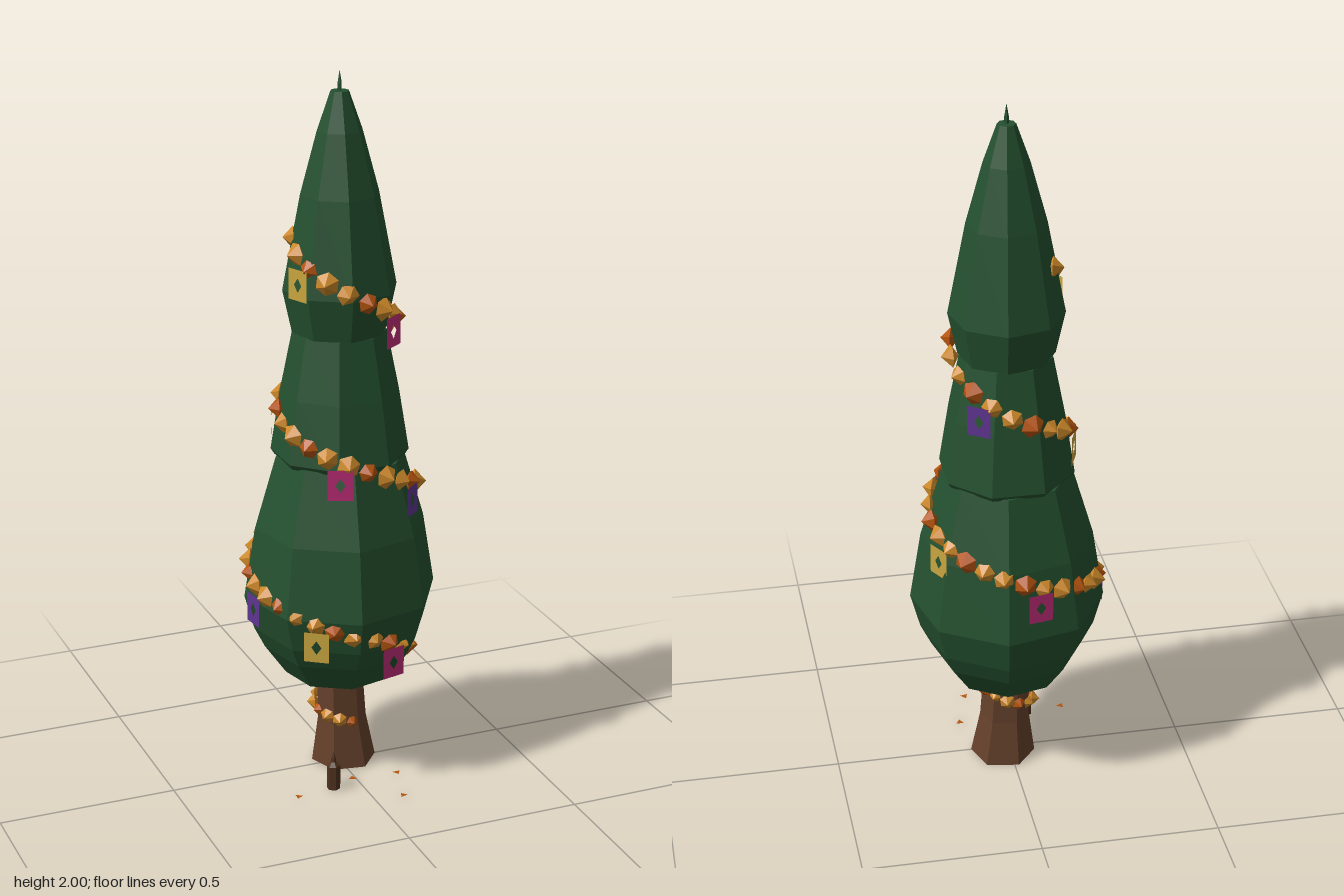
import * as THREE from 'three';

const mat = (name, color, double) => {
  const m = new THREE.MeshStandardMaterial({ color, flatShading: true });
  m.name = name;
  if (double) m.side = THREE.DoubleSide;
  return m;
};

// Faceted lathe from a bottom-to-top profile of [radius, y]
function faceted(profile, sides, phi = 0) {
  const pts = profile.map(([r, y]) => new THREE.Vector2(r, y));
  const g = new THREE.LatheGeometry(pts, sides, phi).toNonIndexed();
  g.computeVertexNormals();
  return g;
}

// Garland path: [turns, height, radius]; turn 0 is the front, turn 0.25 is +x
const PATH = [
  [-0.3, 1.55, 0.125], [0, 1.41, 0.15], [0.25, 1.3, 0.15], [0.5, 1.16, 0.155],
  [0.75, 1.05, 0.17], [1, 0.94, 0.185], [1.25, 0.82, 0.215], [1.5, 0.7, 0.235],
  [1.75, 0.585, 0.255], [2, 0.47, 0.24], [2.15, 0.38, 0.2], [2.22, 0.31, 0.14],
  [2.32, 0.25, 0.085], [2.55, 0.2, 0.072], [3.05, 0.14, 0.075],
];
function pathAt(t) {
  let i = 0;
  while (i < PATH.length - 2 && t > PATH[i + 1][0]) i++;
  const [a, b] = [PATH[i], PATH[i + 1]];
  const k = (t - a[0]) / (b[0] - a[0]);
  return { y: a[1] + (b[1] - a[1]) * k, r: a[2] + (b[2] - a[2]) * k };
}

export function createModel() {
  const root = new THREE.Group();
  const green = mat('foliageGreen', 0x24502f);
  const bark = mat('bark', 0x65412b);
  const darkWood = mat('darkWood', 0x4f321f);
  const amber = mat('amber', 0xcc8829);
  const rust = mat('rust', 0xb4540f, true);
  const yellow = mat('bannerYellow', 0xc9a640, true);
  const pink = mat('bannerPink', 0xbf2d78, true);
  const purple = mat('bannerPurple', 0x5e3590, true);

  const add = (parent, name, geo, material, x = 0, y = 0, z = 0) => {
    const m = new THREE.Mesh(geo, material);
    m.name = name;
    m.position.set(x, y, z);
    parent.add(m);
    return m;
  };

  const tree = new THREE.Group();
  tree.name = 'tree';
  tree.position.set(0.008, 0, -0.015);
  root.add(tree);

  // Foliage tiers
  const P = Math.PI / 180;
  add(tree, 'lowerFoliage', faceted([[0, 0.25], [0.07, 0.25], [0.155, 0.285], [0.215, 0.37],
    [0.245, 0.43], [0.272, 0.53], [0.24, 0.73], [0.18, 0.935], [0, 0.95]], 8, 36 * P), green);
  add(tree, 'middleFoliage', faceted([[0, 0.93], [0.18, 0.93], [0.19, 0.945], [0.162, 1.12],
    [0.128, 1.29], [0, 1.31]], 8, 22.5 * P), green);
  add(tree, 'upperFoliage', faceted([[0, 1.29], [0.132, 1.29], [0.158, 1.41], [0.108, 1.67],
    [0.062, 1.84], [0.025, 1.945], [0, 1.945]], 8, 36 * P), green);
  add(tree, 'topSpike', faceted([[0.006, 1.94], [0.006, 1.965], [0, 2]], 4), green);

  // Flared trunk
  const trunk = faceted([[0, 0], [0.092, 0], [0.07, 0.13], [0.064, 0.3]], 6, 20 * P);
  const pos = trunk.attributes.position;
  for (let i = 0; i < pos.count; i++) {
    pos.setX(i, pos.getX(i) + 0.012 * (1 - pos.getY(i) / 0.3));
  }
  trunk.computeVertexNormals();
  add(tree, 'trunk', trunk, bark);

  // Garland of pointed blossoms
  const garland = new THREE.Group();
  garland.name = 'garland';
  tree.add(garland);
  const blossom = faceted([[0, -0.02], [0.034, 0], [0, 0.031]], 6).rotateX(Math.PI / 2);
  for (let t = -0.3, n = 0; t <= 3.05; n++) {
    const { y, r } = pathAt(t);
    const a = t * Math.PI * 2;
    const size = (y < 0.26 ? 0.6 : 0.92) + 0.1 * Math.sin(n * 2.4);
    const b = add(garland, 'blossom', blossom, n % 3 === 2 ? rust : amber,
      r * Math.sin(a), y, r * Math.cos(a));
    b.rotation.set(0, a, n * 1.7, 'YXZ');
    b.scale.setScalar(size);
    t += 0.055 * (y < 0.26 ? 0.65 : 1) / (2 * Math.PI * r);
  }

  // Paper banners with a diamond cut-out, hung below the garland
  const sheet = new THREE.Shape([[-0.035, 0.043], [-0.035, -0.043], [0.035, -0.043], [0.035, 0.043]]
    .map(([x, y]) => new THREE.Vector2(x, y)));
  sheet.holes.push(new THREE.Path([[0, 0.02], [0.014, 0], [0, -0.02], [-0.014, 0]]
    .map(([x, y]) => new THREE.Vector2(x, y))));
  const banner = new THREE.ShapeGeometry(sheet);
  const colors = [yellow, pink, purple];
  [-0.19, 0.1, 0.4, 0.69, 0.94, 1.12, 1.33, 1.53, 1.77, 1.9, 2.04].forEach((t, i) => {
    const { y, r } = pathAt(t);
    const a = t * Math.PI * 2;
    const d = r + 0.02;
    const m = add(tree, 'banner', banner, colors[i % 3], d * Math.sin(a), y - 0.055, d * Math.cos(a));
    m.rotation.y = a;
  });

  // Small pointed post beside the trunk
  add(root, 'post', faceted([[0, 0], [0.019, 0], [0.019, 0.07], [0.008, 0.082],
    [0.006, 0.095], [0, 0.112]], 6), darkWood, -0.08, 0, 0.155);

  // Fallen petals
  const petal = new THREE.CircleGeometry(0.013, 3).rotateX(-Math.PI / 2);
  [[-0.19, 0.17], [-0.01, 0.125], [0.12, 0.14], [0.083, 0.272]].forEach(([x, z], i) => {
    add(root, 'petal', petal, rust, x, 0.002, z).rotation.y = i * 1.3;
  });

  return root;
}
